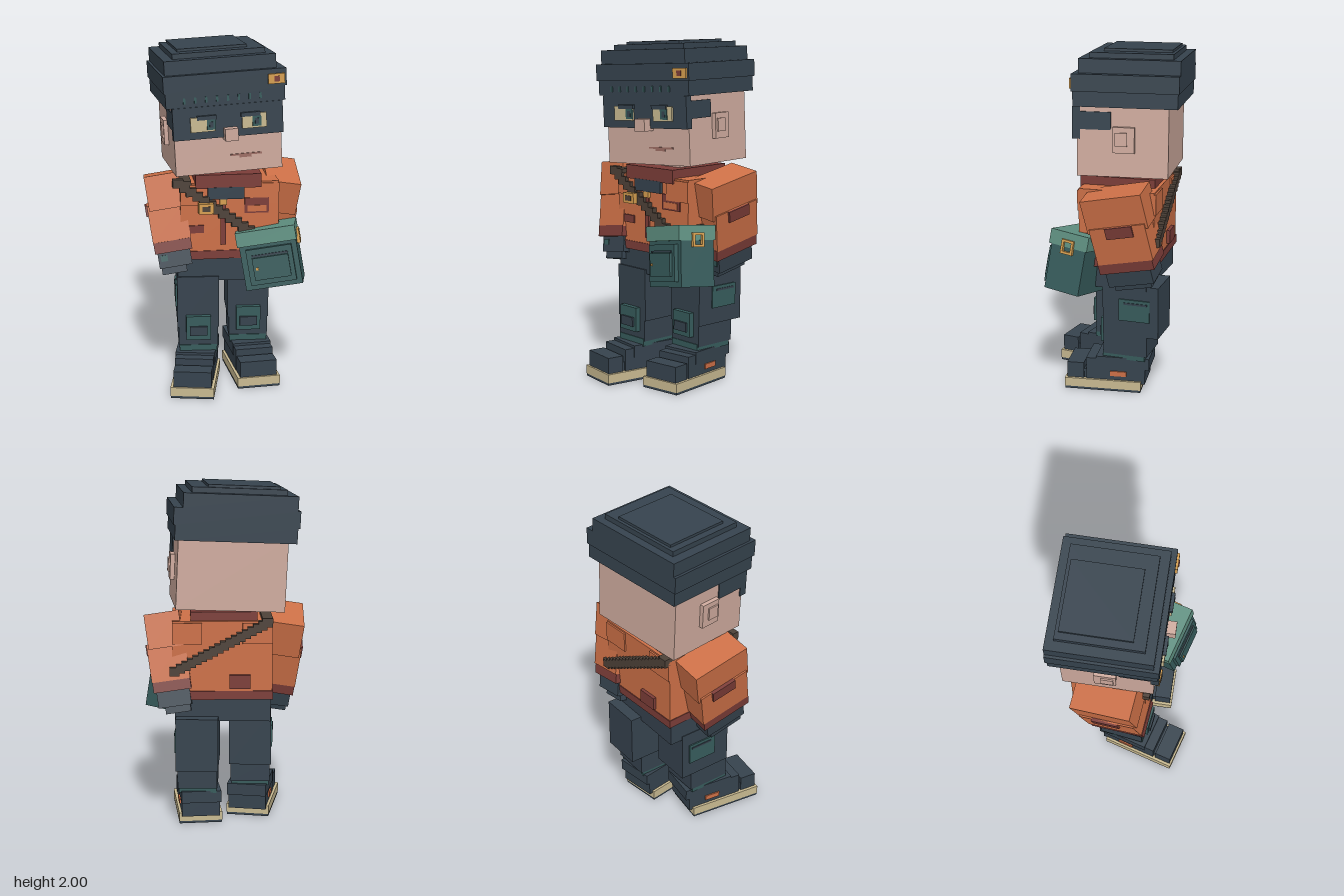
import * as THREE from 'three';

const flat = (name, color) => {
  const m = new THREE.MeshStandardMaterial({ color });
  m.name = name;
  return m;
};

// Box from its extents
function box(parent, name, mat, x0, x1, y0, y1, z0, z1) {
  const mesh = new THREE.Mesh(new THREE.BoxGeometry(x1 - x0, y1 - y0, z1 - z0), mat);
  mesh.position.set((x0 + x1) / 2, (y0 + y1) / 2, (z0 + z1) / 2);
  mesh.name = name;
  parent.add(mesh);
  return mesh;
}

function part(parent, name, pos = [0, 0, 0], rot = [0, 0, 0]) {
  const g = new THREE.Group();
  g.name = name;
  g.position.set(...pos);
  g.rotation.set(...rot);
  parent.add(g);
  return g;
}

export function createModel() {
  const navy = flat('navy', 0x36434e), orange = flat('orange', 0xcd7047), skin = flat('skin', 0xcfab9e);
  const red = flat('darkRed', 0x7c3d38), teal = flat('teal', 0x375c5c), flapTeal = flat('lightTeal', 0x5f9081);
  const tan = flat('tan', 0xc9ba91), gold = flat('gold', 0xd69f50), brown = flat('brown', 0x4e4239);
  const rose = flat('rose', 0x9c6d63);
  const model = new THREE.Group();
  model.name = 'figure';

  // Head, turned and slightly tilted
  const head = part(model, 'head', [-0.015, 1.297, -0.06], [0, 0.137, 0.045]);
  box(head, 'face', skin, -0.308, 0.308, 0, 0.41, -0.258, 0.258);
  box(head, 'mouth', rose, 0.01, 0.19, 0.092, 0.102, 0.255, 0.264);
  box(head, 'lowerLip', rose, 0.06, 0.13, 0.08, 0.092, 0.255, 0.264);
  box(head, 'nose', skin, -0.03, 0.045, 0.195, 0.265, 0.25, 0.335);
  box(head, 'mask', navy, -0.315, 0.315, 0.21, 0.393, 0.24, 0.285);
  for (const s of [-1, 1]) {
    const side = (name, mat, a, b, ...rest) => box(head, name, mat, Math.min(s * a, s * b), Math.max(s * a, s * b), ...rest);
    side('maskSide', navy, 0.3, 0.315, 0.265, 0.365, 0.067, 0.25);
    side('ear', skin, 0.3, 0.333, 0.14, 0.285, -0.07, 0.052);
    side('innerEar', skin, 0.33, 0.342, 0.18, 0.255, -0.03, 0.038);
    side('eye', tan, 0.077, 0.217, 0.252, 0.335, 0.28, 0.297);
    side('eyelid', navy, 0.07, 0.18, 0.32, 0.343, 0.28, 0.303);
    const px = s < 0 ? -0.125 : 0.135;
    box(head, 'iris', teal, px, px + 0.05, 0.262, 0.322, 0.295, 0.302);
    box(head, 'pupil', navy, px + 0.014, px + 0.036, 0.275, 0.308, 0.3, 0.305);
  }

  // Stepped cap: width, depth, centre x, centre z, bottom, top
  const cap = part(head, 'cap');
  [[0.68, 0.59, -0.008, -0.015, 0.393, 0.478],
    [0.70, 0.605, -0.008, -0.015, 0.478, 0.575],
    [0.635, 0.575, -0.025, -0.03, 0.575, 0.655],
    [0.53, 0.475, -0.021, -0.033, 0.655, 0.685],
    [0.40, 0.39, -0.046, -0.057, 0.685, 0.70]].forEach(([w, d, x, z, y0, y1], i) =>
    box(cap, 'capLayer' + i, navy, x - w / 2, x + w / 2, y0, y1, z - d / 2, z + d / 2));
  for (let i = 0; i < 8; i++) {
    const x = -0.25 + i * 0.062;
    box(cap, 'capStitch', teal, x, x + 0.012, 0.415, 0.448, 0.275, 0.286);
  }
  box(cap, 'capBadge', gold, 0.235, 0.33, 0.492, 0.548, 0.28, 0.3);
  box(cap, 'capBadgeCentre', red, 0.268, 0.298, 0.505, 0.535, 0.295, 0.305);

  // Torso
  const torso = part(model, 'torso', [0.01, 0, -0.05], [0, 0.06, 0]);
  box(torso, 'jacket', orange, -0.285, 0.285, 0.82, 1.23, -0.22, 0.22);
  box(torso, 'hem', red, -0.29, 0.29, 0.775, 0.825, -0.225, 0.225);
  box(torso, 'collar', red, -0.2, 0.18, 1.2, 1.28, -0.2, 0.24);
  box(torso, 'neck', skin, -0.13, 0.13, 1.25, 1.31, -0.13, 0.13);
  box(torso, 'scarf', navy, -0.13, 0.08, 1.135, 1.205, 0.2, 0.242);
  box(torso, 'zip', red, -0.055, -0.025, 0.86, 1.1, 0.21, 0.229);
  box(torso, 'zipPull', gold, -0.06, -0.02, 1.1, 1.15, 0.21, 0.238);
  box(torso, 'chestPocket', red, 0.085, 0.225, 1.045, 1.135, 0.21, 0.228);
  box(torso, 'pocketFlap', orange, 0.1, 0.21, 1.055, 1.09, 0.22, 0.232);
  box(torso, 'frontPatch', red, -0.24, -0.15, 0.935, 0.98, 0.21, 0.228);
  box(torso, 'backPatch', red, -0.16, -0.04, 0.84, 0.92, -0.24, -0.21);
  for (const x of [-0.2, 0.2]) box(torso, 'backYoke', orange, x - 0.085, x + 0.085, 1.1, 1.22, -0.23, 0.228);

  // Stepped strap over the right shoulder
  const strap = part(torso, 'strap');
  for (let i = 0; i < 13; i++) {
    const t = i / 12, fx = -0.30 + 0.45 * t, fy = 1.235 - 0.32 * t;
    box(strap, 'frontStrapLink', brown, fx - 0.03, fx + 0.03, fy - 0.025, fy + 0.025, 0.21, 0.25);
  }
  for (let i = 0; i < 18; i++) {
    const t = i / 17, bx = -0.26 + 0.53 * t, by = 1.225 - 0.28 * t;
    box(strap, 'backStrapLink', brown, bx - 0.025, bx + 0.025, by - 0.025, by + 0.025, -0.255, -0.21);
  }
  box(strap, 'shoulderStrap', brown, -0.285, -0.225, 1.225, 1.25, -0.25, 0.25);
  box(strap, 'hipStrap', brown, 0.28, 0.3, 0.92, 0.97, -0.25, 0.22);
  box(strap, 'strapBuckle', gold, -0.185, -0.1, 1.06, 1.12, 0.23, 0.28);
  box(strap, 'strapBuckleCentre', brown, -0.165, -0.12, 1.075, 1.105, 0.27, 0.284);

  // Arms, swinging in opposite directions
  function arm(s, name, pos, rot) {
    const g = part(model, name, pos, rot);
    box(g, 'upperSleeve', orange, -0.1, 0.1, -0.2, 0, -0.18, 0.18);
    box(g, 'lowerSleeve', orange, -0.11, 0.11, -0.39, -0.17, -0.165, 0.165);
    box(g, 'cuff', red, -0.108, 0.108, -0.45, -0.385, -0.158, 0.168);
    box(g, 'glove', navy, -0.095, 0.095, -0.54, -0.44, -0.13, 0.14);
    box(g, 'fingers', navy, -0.085, 0.06, -0.58, -0.53, -0.1, 0.12);
    box(g, 'gloveBadge', teal, s * 0.06 - 0.02, s * 0.06 + 0.02, -0.5, -0.465, 0.13, 0.146);
    box(g, 'sleevePatch', red, s * 0.11 - 0.012, s * 0.11 + 0.012, -0.235, -0.17, -0.09, 0.07);
  }
  arm(-1, 'rightArm', [-0.37, 1.24, -0.03], [-0.2, 0, 0.15]);
  arm(1, 'leftArm', [0.345, 1.24, -0.075], [0.2, 0, -0.15]);

  // Hips
  box(model, 'hips', navy, -0.28, 0.27, 0.64, 0.785, -0.24, 0.165);

  // Legs, the right one stepping forward
  function leg(s, name, x, zf) {
    const g = part(model, name, [x, 0, zf]);
    box(g, 'thigh', navy, -0.122, 0.122, 0.355, 0.665, -0.335, 0);
    box(g, 'shin', navy, -0.115, 0.115, 0.23, 0.36, -0.265, 0);
    box(g, 'ankleBand', teal, -0.11, 0.11, 0.2, 0.245, -0.25, 0.005);
    box(g, 'kneePad', teal, -0.072, 0.072, 0.285, 0.43, -0.01, 0.03);
    box(g, 'kneePadCentre', navy, -0.052, 0.052, 0.315, 0.37, 0.02, 0.042);
    box(g, 'thighPatch', teal, s * 0.122 - 0.008, s * 0.122 + 0.008, 0.45, 0.58, -0.285, -0.1);
    box(g, 'thighPatchFlap', navy, s * 0.128 - 0.006, s * 0.128 + 0.006, 0.55, 0.562, -0.27, -0.13);
  }
  leg(-1, 'rightLeg', -0.162, 0.175);
  leg(1, 'leftLeg', 0.143, 0.025);

  // Shoes, toes turned out
  function shoe(s, name, x, z) {
    const g = part(model, name, [x, 0, z], [0, s * 0.14, 0]);
    box(g, 'tread', navy, -0.125, 0.125, 0, 0.014, -0.225, 0.225);
    box(g, 'sole', tan, -0.127, 0.127, 0.014, 0.066, -0.227, 0.227);
    box(g, 'upper', navy, -0.112, 0.112, 0.05, 0.195, -0.25, 0.1);
    box(g, 'heelCollar', navy, -0.116, 0.116, 0.14, 0.21, -0.275, 0.04);
    box(g, 'toeCap', navy, -0.11, 0.11, 0.06, 0.16, 0.115, 0.215);
    box(g, 'toeBridge', navy, -0.1, 0.1, 0.06, 0.12, 0.09, 0.12);
    box(g, 'shoeTag', orange, s * 0.112 - 0.008, s * 0.112 + 0.008, 0.092, 0.122, -0.14, -0.045);
  }
  shoe(-1, 'rightShoe', -0.179, 0.18);
  shoe(1, 'leftShoe', 0.158, 0.04);

  // Shoulder bag
  const bag = part(model, 'bag', [0.265, 0.79, 0.165], [-0.1, -0.17, 0.165]);
  box(bag, 'bagBody', teal, -0.165, 0.165, -0.17, 0.14, -0.11, 0.11);
  box(bag, 'bagFlap', flapTeal, -0.175, 0.17, 0.09, 0.175, -0.12, 0.125);
  box(bag, 'bagPocket', teal, -0.13, 0.135, -0.14, 0.07, 0.1, 0.135);
  box(bag, 'bagPocketPanel', teal, -0.1, 0.11, -0.11, 0.02, 0.13, 0.15);
  box(bag, 'bagPocketSeam', navy, -0.1, 0.11, 0.025, 0.036, 0.13, 0.142);
  box(bag, 'bagPocketStud', gold, -0.085, -0.07, -0.05, -0.035, 0.145, 0.155);
  for (const e of [-1, 1]) {
    box(bag, 'bagBuckleBar', gold, 0.16, 0.184, 0.0925 + e * 0.034 - 0.007, 0.0925 + e * 0.034 + 0.007, -0.035, 0.04);
    box(bag, 'bagBucklePost', gold, 0.16, 0.184, 0.0525, 0.1325, e * 0.031 - 0.005, e * 0.031 + 0.009);
  }
  return model;
}
